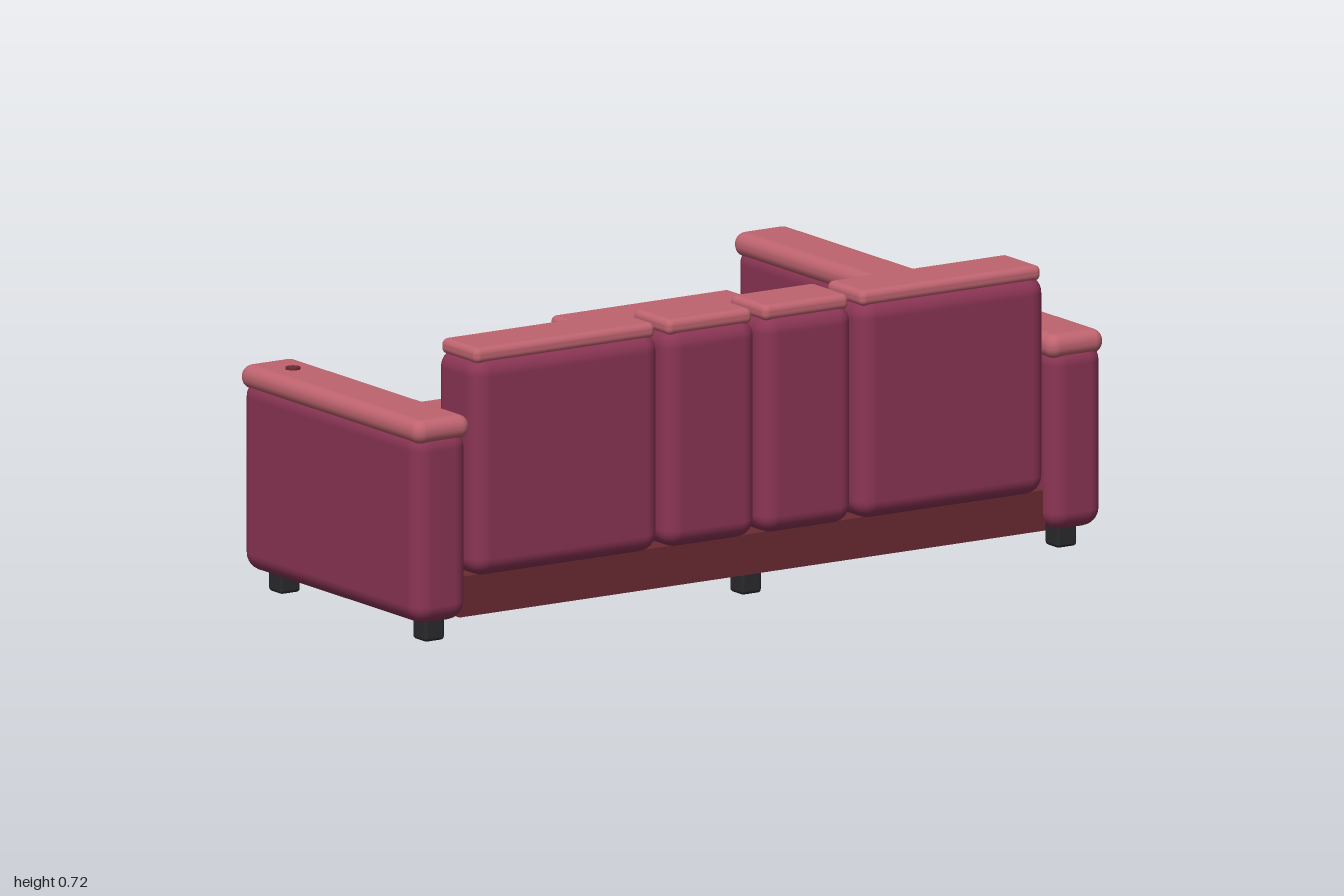
import * as THREE from 'three';
import { RoundedBoxGeometry } from 'three/addons/geometries/RoundedBoxGeometry.js';

const mat = (color) => new THREE.MeshStandardMaterial({ color });

export function createModel() {
  const sofa = new THREE.Group();
  sofa.name = 'cornerSofa';
  const fabric = mat(0x8c3555);
  const trim = mat(0xbf6470);
  const wood = mat(0x6b2a32);
  const black = mat(0x2a2a2e);

  const add = (name, geometry, material, x, y, z) => {
    const mesh = new THREE.Mesh(geometry, material);
    mesh.name = name;
    mesh.position.set(x, y, z);
    sofa.add(mesh);
    return mesh;
  };

  // Rounded block given by its limits on each axis
  const block = (name, material, [x0, x1], [y0, y1], [z0, z1], radius) =>
    add(name, new RoundedBoxGeometry(x1 - x0, y1 - y0, z1 - z0, 4, radius), material,
      (x0 + x1) / 2, (y0 + y1) / 2, (z0 + z1) / 2);

  // L-shaped base, drawn in plan and extruded upwards
  const plan = new THREE.Shape([
    [-0.85, -0.655], [0.85, -0.655], [0.85, 0.65],
    [0.315, 0.65], [0.315, 0.045], [-0.85, 0.045],
  ].map(([x, y]) => new THREE.Vector2(x, y)));
  const baseGeometry = new THREE.ExtrudeGeometry(plan, { depth: 0.1, bevelEnabled: false });
  baseGeometry.rotateX(-Math.PI / 2);
  add('base', baseGeometry, wood, 0, 0.05, 0);

  // Arms with padded tops: a long one beside the chaise and a short one
  block('longArm', fabric, [0.843, 0.997], [0.05, 0.505], [-0.688, 0.697], 0.045);
  block('longArmPad', trim, [0.838, 1], [0.476, 0.537], [-0.692, 0.697], 0.029);
  block('shortArm', fabric, [-0.997, -0.843], [0.05, 0.525], [-0.08, 0.692], 0.045);
  block('shortArmPad', trim, [-1, -0.838], [0.497, 0.557], [-0.085, 0.695], 0.029);

  // Seat cushions with a thin top panel
  const seats = [
    ['rightSeat', [-0.832, -0.292], [-0.083, 0.512]],
    ['middleSeat', [-0.272, 0.268], [-0.083, 0.512]],
    ['leftSeat', [0.288, 0.828], [-0.083, 0.512]],
    ['chaiseSeat', [0.288, 0.828], [-0.682, -0.098]],
  ];
  for (const [name, x, z] of seats) {
    block(name, fabric, x, [0.15, 0.383], z, 0.045);
    block(name + 'Panel', trim, [x[0] + 0.01, x[1] - 0.01], [0.366, 0.402],
      [z[0] + 0.01, z[1] - 0.01], 0.015);
  }

  // Back cushions: two wide outer ones and two narrow ones between them
  const backs = [
    ['rightBack', [-0.835, -0.291]],
    ['innerRightBack', [-0.277, -0.009]],
    ['innerLeftBack', [0.003, 0.271]],
    ['leftBack', [0.285, 0.829]],
  ];
  for (const [name, x] of backs) {
    block(name, fabric, x, [0.15, 0.692], [0.52, 0.7], 0.045);
    block(name + 'Panel', trim, [x[0] + 0.01, x[1] - 0.01], [0.677, 0.716],
      [0.531, 0.688], 0.016);
  }

  // Feet
  const feet = [[-0.92, 0.625], [0, 0.625], [0.915, 0.625],
    [-0.92, 0], [0.355, -0.61], [0.915, -0.61]];
  for (const [x, z] of feet) {
    add('foot', new RoundedBoxGeometry(0.058, 0.06, 0.058, 2, 0.009), black, x, 0.03, z);
  }

  // Round buttons on the short arm's top and the long arm's end
  const buttonGeometry = new THREE.CylinderGeometry(0.018, 0.018, 0.02, 20);
  add('topButton', buttonGeometry, wood, -0.92, 0.552, 0.037);
  add('endButton', buttonGeometry, wood, 0.915, 0.41, -0.69).rotation.x = Math.PI / 2;

  return sofa;
}
